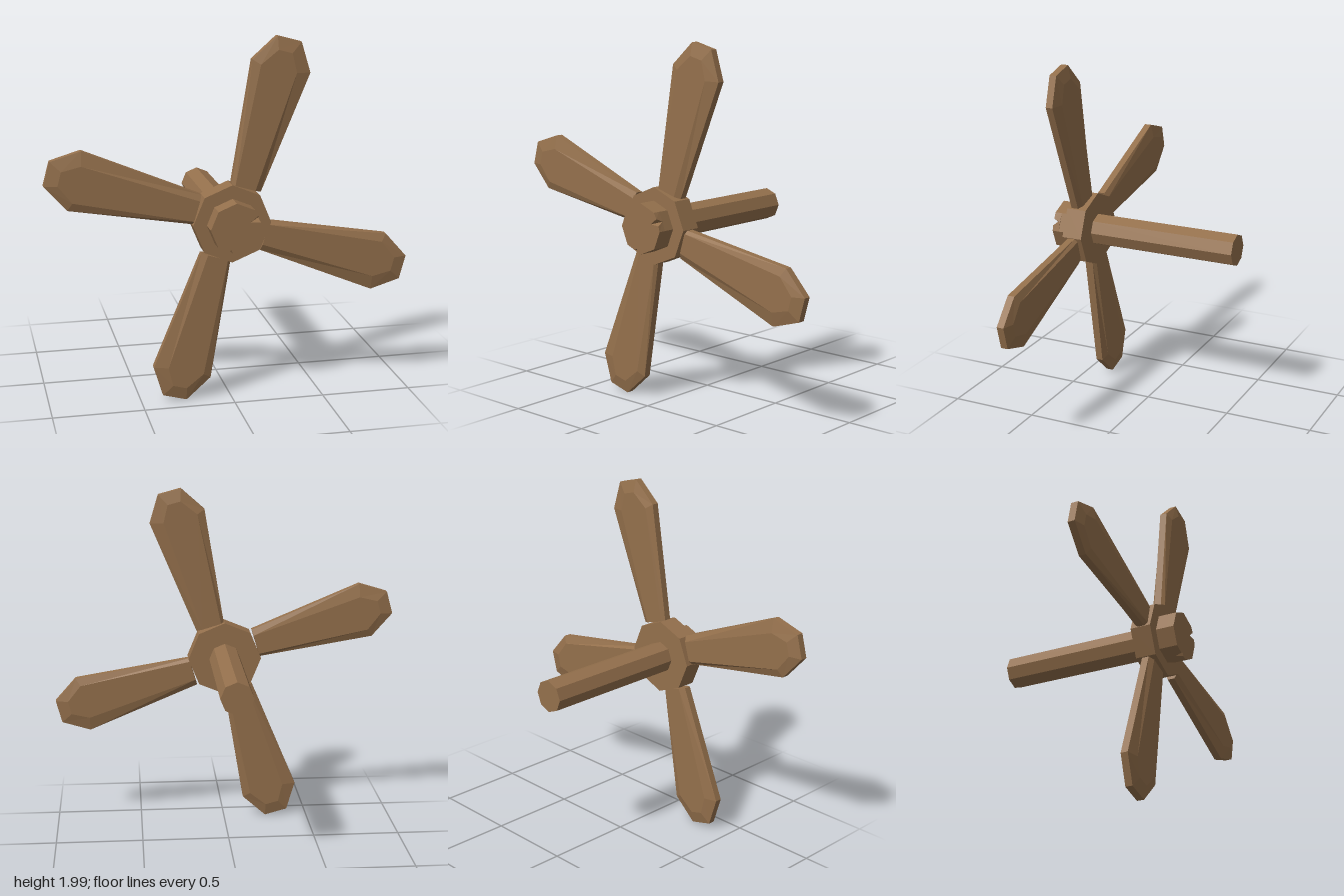
import * as THREE from 'three';

const CX = -0.003, CY = 1.003;

const wood = new THREE.MeshStandardMaterial({ color: 0x94704c, flatShading: true });
wood.name = 'brown wood';

// Octagonal prism with corners on the axes, running from z0 to z1
function prism(name, radius, z0, z1) {
  const geo = new THREE.CylinderGeometry(radius, radius, z1 - z0, 8);
  geo.rotateX(Math.PI / 2).translate(0, 0, (z0 + z1) / 2);
  const mesh = new THREE.Mesh(geo, wood);
  mesh.name = name;
  return mesh;
}

// Closed solid from equal-length counter-clockwise rings, back to front
function loft(rings) {
  const n = rings[0].length, index = [];
  for (let k = 0; k < rings.length - 1; k++) {
    for (let i = 0; i < n; i++) {
      const j = (i + 1) % n, a = k * n, b = a + n;
      index.push(a + i, a + j, b + j, a + i, b + j, b + i);
    }
  }
  const top = (rings.length - 1) * n;
  for (let i = 1; i < n - 1; i++) {
    index.push(0, i + 1, i, top, top + i, top + i + 1);
  }
  const geo = new THREE.BufferGeometry();
  geo.setAttribute('position', new THREE.Float32BufferAttribute(rings.flat(2), 3));
  geo.setIndex(index);
  const flat = geo.toNonIndexed();
  flat.computeVertexNormals();
  return flat;
}

// Paddle blade: bevelled rim around a slightly raised face
function bladeGeometry() {
  const rim = [[0.163, 0.162], [0.428, 0.797], [0.378, 0.962], [0.248, 0.997], [0.113, 0.877], [0.003, 0.212]];
  const face = [[0.13, 0.172], [0.35, 0.8], [0.325, 0.905], [0.25, 0.925], [0.155, 0.85], [0.02, 0.205]];
  const at = (ring, z) => ring.map(([x, y]) => [x, y, z]);
  return loft([at(face, 0.343), at(rim, 0.36), at(rim, 0.4), at(face, 0.417)]);
}

// Front rim of the cap, with two chips that narrow to a point behind
function chippedRimGeometry(radius, z0, z1) {
  const chips = {
    0: [[0.131, 0.03], [0.075, 0.034], [0.117, 0.067]],
    5: [[-0.045, -0.122], [-0.03, -0.112], [-0.02, -0.132]],
  };
  const shape = new THREE.Shape();
  const folded = [];
  for (let i = 0; i < 8; i++) {
    const a = (i * Math.PI) / 4;
    const x = radius * Math.cos(a), y = radius * Math.sin(a);
    if (i === 0) shape.moveTo(x, y);
    else shape.lineTo(x, y);
    for (const p of chips[i] || []) {
      shape.lineTo(p[0], p[1]);
      const [s, , e] = chips[i];
      folded.push({ p, to: [(s[0] + e[0]) / 2, (s[1] + e[1]) / 2] });
    }
  }
  const geo = new THREE.ExtrudeGeometry(shape, { depth: z1 - z0, bevelEnabled: false });
  const pos = geo.attributes.position;
  for (let i = 0; i < pos.count; i++) {
    if (pos.getZ(i) > 0.001) continue;
    for (const { p, to } of folded) {
      if (Math.hypot(pos.getX(i) - p[0], pos.getY(i) - p[1]) < 0.001) {
        pos.setXY(i, to[0], to[1]);
        break;
      }
    }
  }
  geo.translate(0, 0, z0);
  geo.computeVertexNormals();
  return geo;
}

export function createModel() {
  const model = new THREE.Group();
  model.name = 'windmillRotor';

  const rotor = new THREE.Group();
  rotor.name = 'rotor';
  rotor.position.set(CX, CY, 0);
  model.add(rotor);

  // Axle, hub and cap
  rotor.add(prism('axle', 0.091, -0.54, 0.33));
  rotor.add(prism('hub', 0.214, 0.318, 0.435));
  rotor.add(prism('cap', 0.14, 0.43, 0.5));
  const rim = new THREE.Mesh(chippedRimGeometry(0.14, 0.5, 0.54), wood);
  rim.name = 'chippedCapFront';
  rotor.add(rim);

  // Four blades, a quarter turn apart
  const blade = bladeGeometry();
  for (let i = 0; i < 4; i++) {
    const mesh = new THREE.Mesh(blade, wood);
    mesh.name = `blade${i + 1}`;
    mesh.rotation.z = (i * Math.PI) / 2;
    rotor.add(mesh);
  }
  return model;
}
